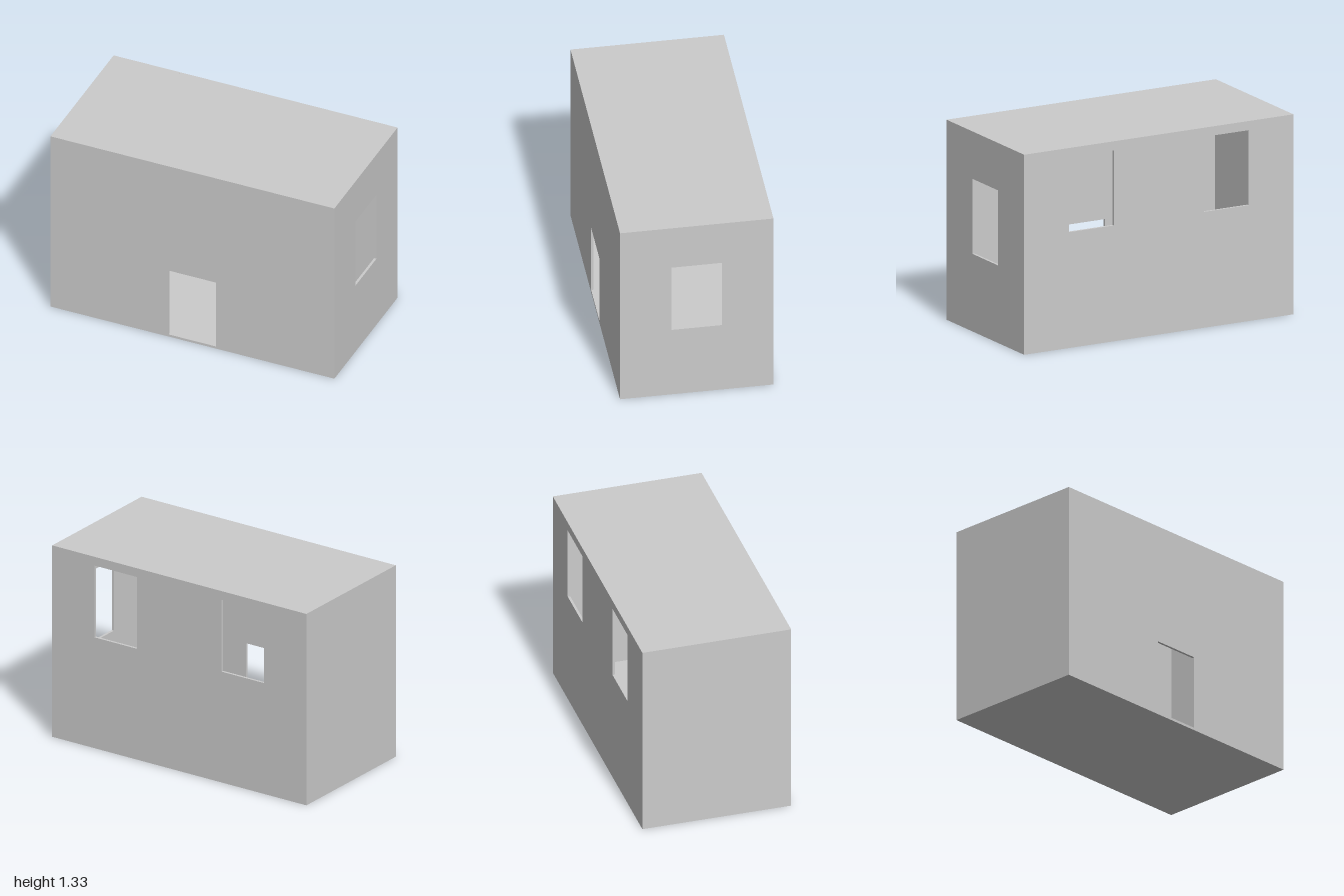
import * as THREE from 'three';

const W = 2, H = 1.333, D = 1, T = 0.0167; // outer size and wall thickness

export function createModel() {
  const house = new THREE.Group();
  house.name = 'house';
  const material = new THREE.MeshStandardMaterial({ color: 0xcccccc });

  // Upright wall, centred on its width, with openings [x0, x1, y0, y1]
  function wall(name, width, openings = []) {
    const shape = new THREE.Shape([
      new THREE.Vector2(-width / 2, 0), new THREE.Vector2(width / 2, 0),
      new THREE.Vector2(width / 2, H), new THREE.Vector2(-width / 2, H),
    ]);
    for (const [x0, x1, y0, y1] of openings) {
      shape.holes.push(new THREE.Path([
        new THREE.Vector2(x0, y0), new THREE.Vector2(x0, y1),
        new THREE.Vector2(x1, y1), new THREE.Vector2(x1, y0),
      ]));
    }
    const geometry = new THREE.ExtrudeGeometry(shape, { depth: T, bevelEnabled: false });
    geometry.translate(0, 0, -T / 2);
    const mesh = new THREE.Mesh(geometry, material);
    mesh.name = name;
    house.add(mesh);
    return mesh;
  }

  // Front wall with doorway, back wall with two high windows
  wall('frontWall', W, [[-0.167, 0.167, T, 0.517]]).position.z = D / 2 - T / 2;
  wall('backWall', W, [
    [-0.667, -0.334, 0.772, 1.272],
    [0.334, 0.667, 0.772, 1.272],
  ]).position.z = -D / 2 + T / 2;

  // End walls fit between front and back; only one has a window
  for (const side of [1, -1]) {
    const openings = side > 0 ? [[-0.166, 0.166, 0.517, 1.017]] : [];
    const end = wall(side > 0 ? 'windowEndWall' : 'plainEndWall', D - 2 * T, openings);
    end.rotation.y = side * Math.PI / 2;
    end.position.x = side * (W / 2 - T / 2);
  }

  // Floor and flat roof fit inside the walls
  for (const [name, y] of [['floor', T / 2], ['roof', H - T / 2]]) {
    const slab = new THREE.Mesh(new THREE.BoxGeometry(W - 2 * T, T, D - 2 * T), material);
    slab.name = name;
    slab.position.y = y;
    house.add(slab);
  }
  return house;
}
